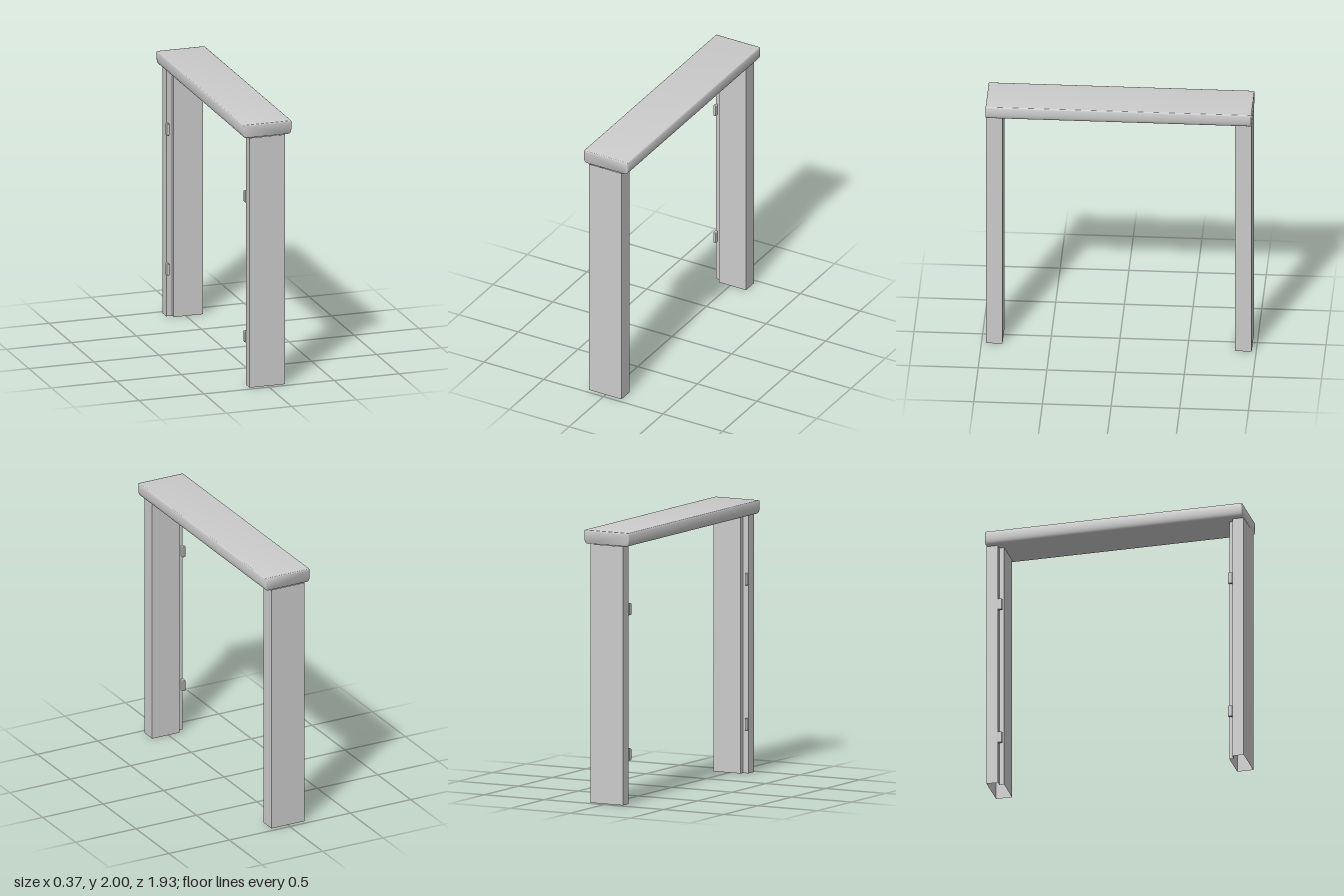
import * as THREE from 'three';
import { toCreasedNormals } from 'three/addons/utils/BufferGeometryUtils.js';
import { RoundedBoxGeometry } from 'three/addons/geometries/RoundedBoxGeometry.js';

const HALF = 0.967; // half length of the frame along z
const LINTEL_Y = 1.9; // underside of the lintel

const material = new THREE.MeshStandardMaterial({ color: 0xcccccc });
const openMaterial = new THREE.MeshStandardMaterial({ color: 0xcccccc, side: THREE.DoubleSide });

// Uncapped tube: walls raised along y from a closed [x, z] outline
function walls(outline, height) {
  const positions = [];
  outline.forEach(([ax, az], i) => {
    const [bx, bz] = outline[(i + 1) % outline.length];
    positions.push(ax, 0, az, ax, height, az, bx, height, bz);
    positions.push(ax, 0, az, bx, height, bz, bx, 0, bz);
  });
  const geometry = new THREE.BufferGeometry();
  geometry.setAttribute('position', new THREE.Float32BufferAttribute(positions, 3));
  geometry.computeVertexNormals();
  return geometry;
}

// Post with a rebate along its inner edge; side is +1 or -1 along z
function makePost(side) {
  const inner = 0.847, rebate = 0.882;
  const outline = [
    [-0.138, HALF], [0.133, HALF], [0.133, inner],
    [-0.093, inner], [-0.093, rebate], [-0.138, rebate],
  ].map(([x, z]) => [x, z * side]);
  // Keep the walls facing outwards on both sides
  if (side > 0) outline.reverse();
  const post = new THREE.Mesh(walls(outline, LINTEL_Y), openMaterial);
  post.name = side > 0 ? 'frontPost' : 'backPost';
  return post;
}

// Lintel: slab with rounded lower edges, running along z
function makeLintel() {
  const w = 0.186, top = 2, low = LINTEL_Y, bevel = 0.01;
  const shape = new THREE.Shape();
  shape.moveTo(-w + 0.008, top);
  shape.quadraticCurveTo(-w, top, -w, top - 0.01);
  shape.lineTo(-w, low + 0.045);
  shape.quadraticCurveTo(-w + 0.002, low, -w + 0.025, low);
  shape.lineTo(w - 0.025, low);
  shape.quadraticCurveTo(w - 0.002, low, w, low + 0.045);
  shape.lineTo(w, top - 0.01);
  shape.quadraticCurveTo(w, top, w - 0.008, top);
  shape.closePath();
  const depth = 2 * (HALF - bevel);
  const geometry = new THREE.ExtrudeGeometry(shape, {
    depth, curveSegments: 6, bevelSize: bevel / 2, bevelOffset: -bevel / 2,
    bevelThickness: bevel, bevelSegments: 2,
  });
  geometry.translate(0, 0, -depth / 2);
  const lintel = new THREE.Mesh(toCreasedNormals(geometry, 0.8), material);
  lintel.name = 'lintel';
  return lintel;
}

export function createModel() {
  const group = new THREE.Group();
  group.name = 'doorFrame';
  group.add(makeLintel());

  const hingeGeometry = new RoundedBoxGeometry(0.022, 0.088, 0.034, 2, 0.006);
  for (const side of [1, -1]) {
    group.add(makePost(side));
    // Two hinges sit in the rebate of each post
    for (const y of [0.362, 1.428]) {
      const hinge = new THREE.Mesh(hingeGeometry, material);
      hinge.name = 'hinge';
      hinge.position.set(-0.134, y, side * 0.867);
      group.add(hinge);
    }
  }
  return group;
}
